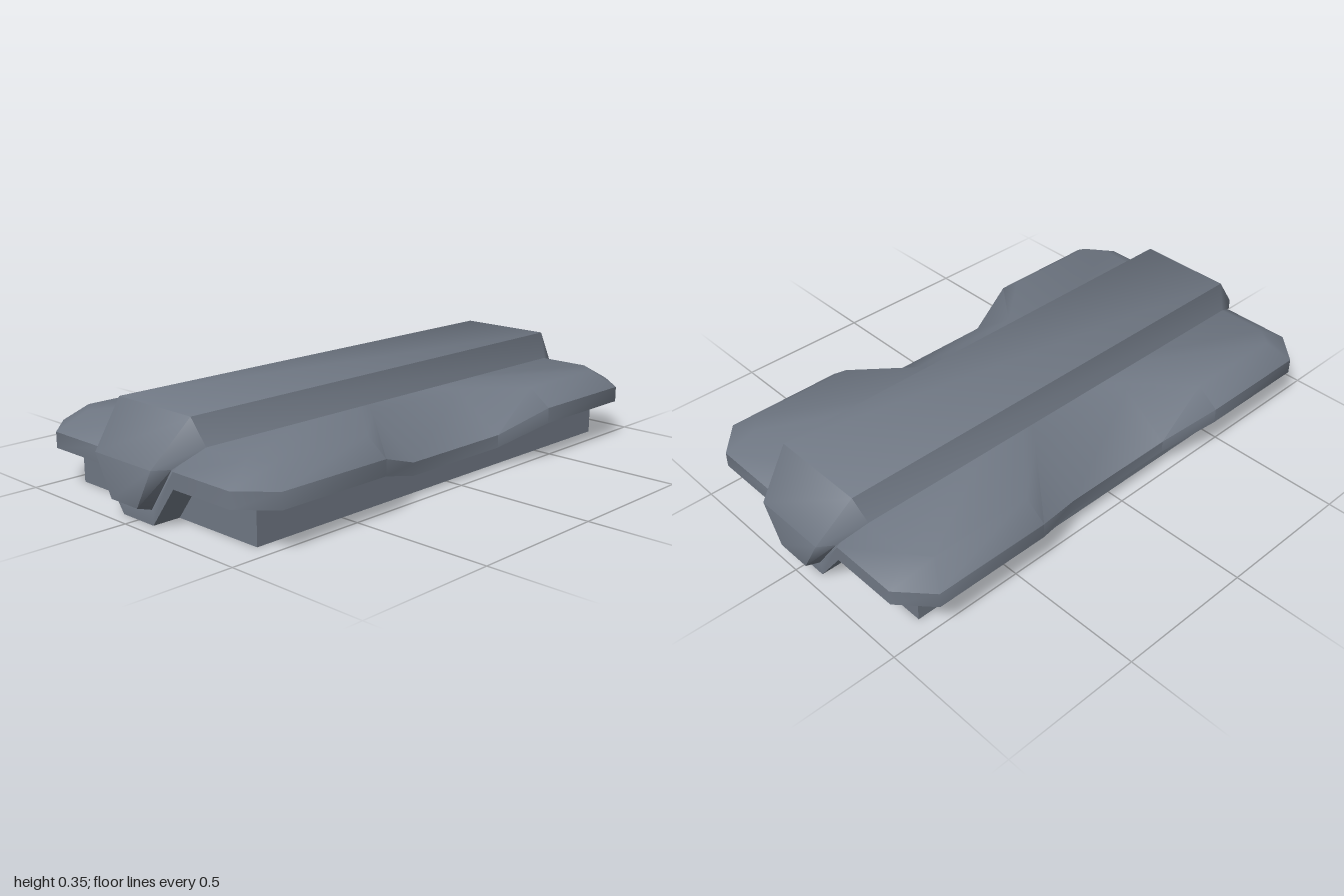
import * as THREE from 'three';
import { toCreasedNormals } from 'three/addons/utils/BufferGeometryUtils.js';

// Skin a list of equally long point rows; creases sharper than the given angle stay sharp.
function loft(rows, closed, creaseDegrees) {
  const n = rows[0].length;
  const index = [];
  for (let i = 0; i < rows.length - 1; i++) {
    for (let j = 0; j < (closed ? n : n - 1); j++) {
      const k = (j + 1) % n;
      const a = i * n + j, b = i * n + k, c = (i + 1) * n + k, d = (i + 1) * n + j;
      index.push(a, b, c, a, c, d);
    }
  }
  const geometry = new THREE.BufferGeometry();
  geometry.setAttribute('position', new THREE.Float32BufferAttribute(rows.flat(2), 3));
  geometry.setIndex(index);
  return toCreasedNormals(geometry, THREE.MathUtils.degToRad(creaseDegrees));
}

// Mirror a quarter outline (front middle to right end middle) into a full loop.
function fullLoop(quarter) {
  const mirror = (sx, sz) => quarter.map(([x, y, z]) => [sx * x, y, sz * z]);
  return [
    ...mirror(1, 1),
    ...mirror(1, -1).reverse(),
    ...mirror(-1, -1),
    ...mirror(-1, 1).reverse(),
  ];
}

export function createModel() {
  const group = new THREE.Group();
  const slateGrey = new THREE.MeshStandardMaterial({ color: 0x6f7783 });
  const add = (name, geometry) => {
    const mesh = new THREE.Mesh(geometry, slateGrey);
    mesh.name = name;
    group.add(mesh);
    return mesh;
  };

  // Base block
  const halfX = 0.85, halfZ = 0.435;
  add('base', new THREE.BoxGeometry(halfX * 2, 0.15, halfZ * 2)).position.y = 0.075;

  // Cover plate: rim x, rim z, rim bottom, rim top, shoulder x, shoulder z
  const rim = [
    [0.22, 0.48, 0.08, 0.125, 0.22, 0.30],
    [0.42, 0.545, 0.14, 0.195, 0.42, 0.465],
    [0.85, 0.545, 0.14, 0.195, 0.80, 0.465],
    [0.95, 0.435, 0.14, 0.195, 0.85, 0.40],
    [0.95, 0.18, 0.14, 0.195, 0.85, 0.18],
    [0.95, 0.075, 0, 0.05, 0.85, 0.075],
  ];
  const plateRows = [
    rim.map(([x, z, low]) => [Math.min(x, halfX), low, Math.min(z, halfZ)]),
    rim.map(([x, z, low]) => [x, low, z]),
    rim.map(([x, z, low, high]) => [x, high, z]),
    rim.map(([, , , , x, z]) => [x, 0.255, z]),
    rim.map(() => [0, 0.255, 0]),
  ].map(fullLoop);
  add('coverPlate', loft(plateRows, true, 50));

  // Raised beam wrapping over both ends: outer x, y, half width, then lip x, y, half width
  const stations = [
    [1, 0.065, 0.065, 0.95, 0.05, 0.07],
    [1, 0.2, 0.14, 0.95, 0.2, 0.176],
    [0.875, 0.348, 0.178, 0.85, 0.256, 0.216],
  ];
  const section = (s) => ([x, y, w, lx, ly, lw]) => [
    [s * lx, ly, -lw], [s * x, y, -w], [s * x, y, w], [s * lx, ly, lw],
  ];
  const tip = (s) => Array.from({ length: 4 }, () => [s * 0.95, 0.05, 0]);
  const beamRows = [
    tip(-1),
    ...stations.map(section(-1)),
    ...stations.map(section(1)).reverse(),
    tip(1),
  ];
  add('raisedBeam', loft(beamRows, false, 60));

  return group;
}
